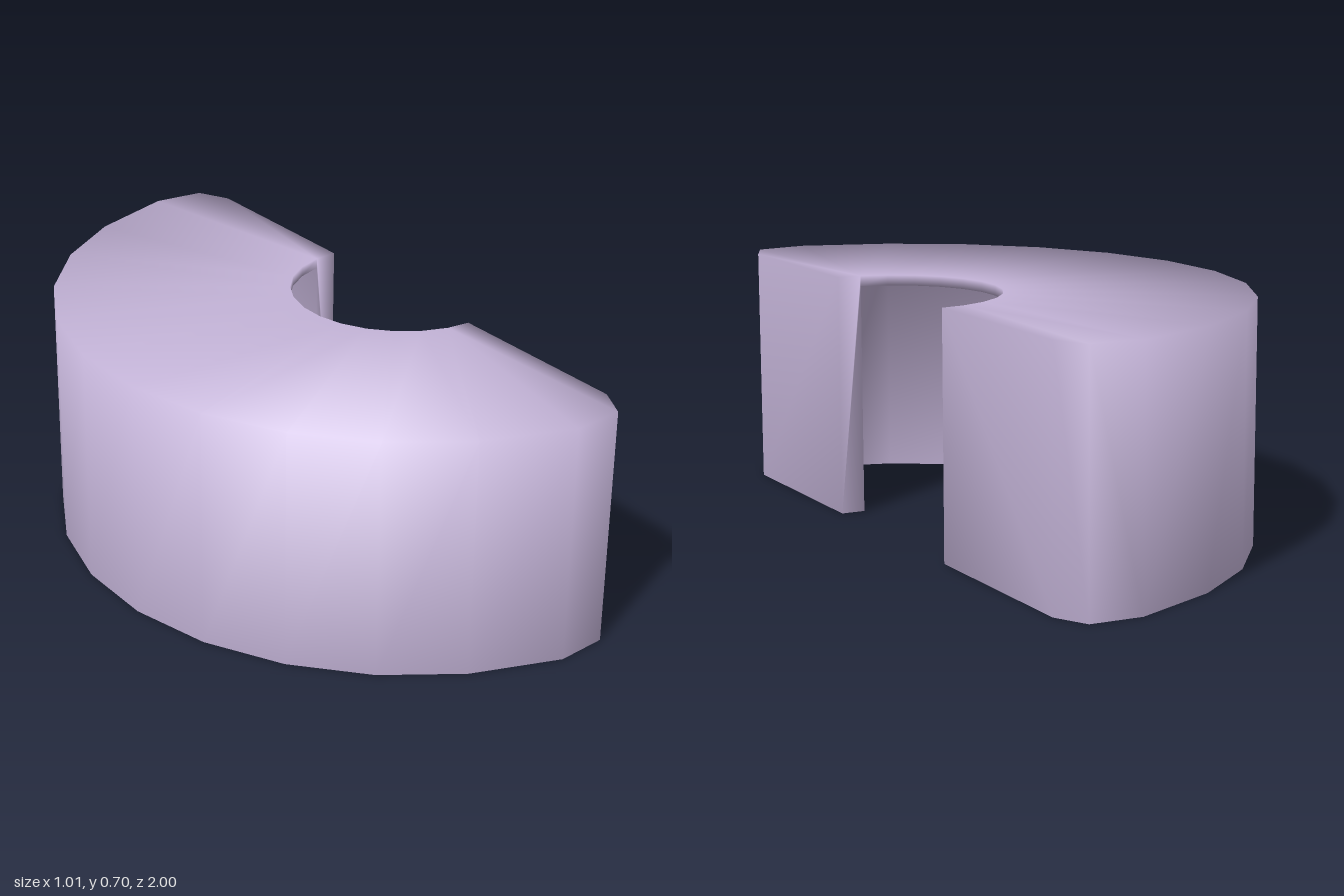
import * as THREE from 'three';
import { mergeVertices } from 'three/addons/utils/BufferGeometryUtils.js';

const H = 0.7, CEILING = 0.67, CX = 0.503;

export function createModel() {
  const group = new THREE.Group();
  const positions = [];
  const tri = (...pts) => pts.forEach(p => positions.push(p.x, p.y, p.z));
  // fan of triangles around the first corner; flip mirrors it across z
  const face = (pts, flip = false) => {
    const p = flip ? pts.map(v => new THREE.Vector3(v.x, v.y, -v.z)).reverse() : pts;
    // keep the same fan centre after reversing
    if (flip) p.unshift(p.pop());
    for (let i = 1; i < p.length - 1; i++) tri(p[0], p[i], p[i + 1]);
  };
  const polar = (r, deg, y) => {
    const a = THREE.MathUtils.degToRad(deg);
    return new THREE.Vector3(CX - r * Math.cos(a), y, r * Math.sin(a));
  };
  const at = (x, z, y) => new THREE.Vector3(x, y, z);

  // hook-shaped cross-section: outer wall and roof, open below and inside
  const section = [[1.016, 0], [1.016, H], [0.32, H], [0.32, CEILING], [0.925, CEILING], [0.925, 0]];
  const stations = [];
  for (let k = 0; k < 12; k++) {
    const deg = -77.5 + k * (155 / 11);
    stations.push(section.map(([r, y]) => polar(r, deg, y)));
  }
  // the two outer end stations sit exactly on the widest points
  for (const [s, sign] of [[stations[0], -1], [stations[11], 1]])
    for (const j of [0, 1]) s[j].set(0.305, s[j].y, sign);

  for (let k = 0; k < 11; k++) {
    const a = stations[k], b = stations[k + 1];
    for (let j = 0; j < 6; j++) {
      const n = (j + 1) % 6;
      face([a[j], b[j], b[n], a[n]]);
    }
  }

  // solid wedge closing each end of the half ring
  const [ob, ot, it, iu, cu, cb] = stations[11];
  const inner = [it.x, it.z];
  const outline = [[ob.x, ob.z], [0.455, 0.985], [CX, 0.89], [CX, 0.318], inner];
  const low = outline.map(([x, z]) => at(x, z, 0));
  const high = outline.map(([x, z]) => at(x, z, H));
  for (const flip of [false, true]) {
    for (let i = 0; i < 4; i++) {
      const wall = [low[i], low[i + 1], high[i + 1], high[i]];
      if (i === 3) wall.splice(2, 0, iu);
      face(wall, flip);
    }
    face([high[4], high[0], high[1], high[2], high[3]], flip);
    face([cb, low[4], low[3], low[2], low[1], low[0]], flip);
    face([low[4], cb, cu, iu], flip);
  }

  let geometry = new THREE.BufferGeometry();
  geometry.setAttribute('position', new THREE.Float32BufferAttribute(positions, 3));
  geometry = mergeVertices(geometry, 1e-4);
  geometry.computeVertexNormals();

  const material = new THREE.MeshStandardMaterial({ color: 0xc4b4d8, side: THREE.DoubleSide });
  const shell = new THREE.Mesh(geometry, material);
  shell.name = 'halfRingShell';
  group.add(shell);
  return group;
}
